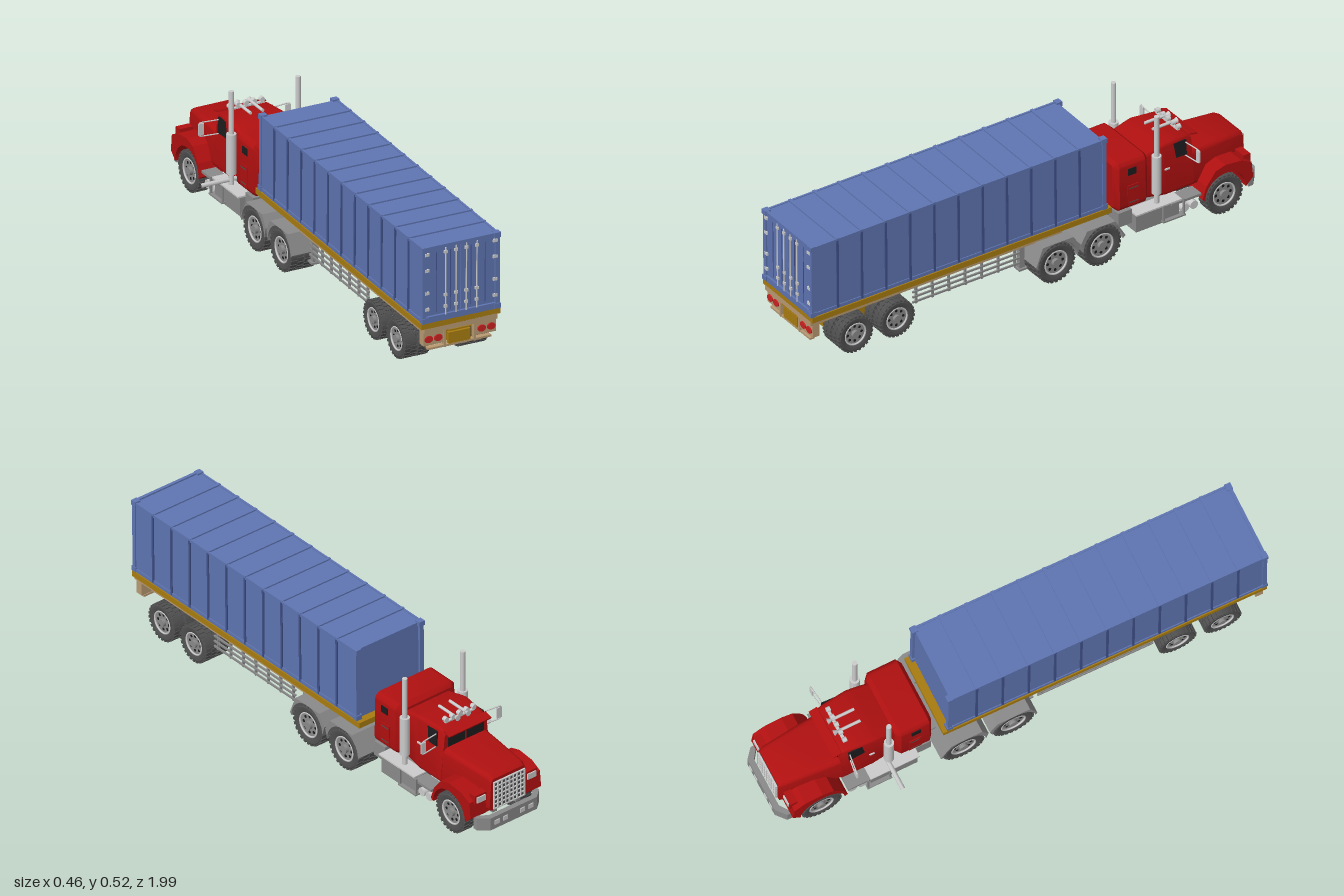
import * as THREE from 'three';
import { mergeGeometries, toCreasedNormals } from 'three/addons/utils/BufferGeometryUtils.js';

const RED = 0xb01010, BLUE = 0x5f75b2, DARKBLUE = 0x3f5088, OCHRE = 0xa87c10, BEIGE = 0xb99a72,
  GREY = 0x8a8a8a, DARK = 0x505050, LIGHT = 0xcccccc, BLACK = 0x1c1c1e, LAMP = 0xcc2222;
const mats = {};
const mat = c => (mats[c] ??= new THREE.MeshStandardMaterial({ color: c }));

function add(parent, name, geo, color, x = 0, y = 0, z = 0) {
  const m = new THREE.Mesh(geo, mat(color));
  m.name = name;
  m.position.set(x, y, z);
  parent.add(m);
  return m;
}
const box = (p, name, c, w, h, d, x, y, z) => add(p, name, new THREE.BoxGeometry(w, h, d), c, x, y, z);
// Cylinder along axis 'x', 'y' or 'z'
function cyl(p, name, c, r, len, axis, x, y, z, n = 16) {
  const g = new THREE.CylinderGeometry(r, r, len, n);
  if (axis === 'x') g.rotateZ(Math.PI / 2);
  if (axis === 'z') g.rotateX(Math.PI / 2);
  return add(p, name, g, c, x, y, z);
}
function tube(p, name, c, r, pts) {
  const curve = new THREE.CatmullRomCurve3(pts.map(q => new THREE.Vector3(...q)), false, 'catmullrom', 0.2);
  return add(p, name, new THREE.TubeGeometry(curve, 20, r, 8), c);
}
function group(parent, name) {
  const g = new THREE.Group();
  g.name = name;
  parent.add(g);
  return g;
}

// Body through rounded sections [z, half width below, half width above, bottom, top, corner], front-most last
function loft(sections) {
  const pos = [], idx = [], N = 20;
  for (const [z, wb, wt, y0, y1, r] of sections) {
    for (let k = 0; k < 4; k++) for (let i = 0; i < 5; i++) {
      const a = (k - 1 + i / 4) * Math.PI / 2, sx = k < 2 ? 1 : -1, top = k === 1 || k === 2;
      const y = (top ? y1 - r : y0 + r) + r * Math.sin(a);
      const w = wb + (wt - wb) * (y - y0) / (y1 - y0);
      pos.push(sx * (w - r) + r * Math.cos(a), y, z);
    }
  }
  const last = (sections.length - 1) * N;
  for (let s = 0; s < last; s += N) for (let j = 0; j < N; j++) {
    const a = s + j, b = s + (j + 1) % N;
    idx.push(a, a + N, b, b, a + N, b + N);
  }
  for (let j = 1; j < N - 1; j++) idx.push(0, j, j + 1, last, last + j + 1, last + j);
  const g = new THREE.BufferGeometry();
  g.setAttribute('position', new THREE.Float32BufferAttribute(pos, 3));
  g.setIndex(idx);
  return toCreasedNormals(g, 0.6);
}

// Wheel-arch block: outline in (z, y) from rear to front, cut by a half circle
function arch(parent, name, color, outline, zc, yc, r, inner, outer) {
  const s = new THREE.Shape();
  s.moveTo(zc + r, yc);
  outline.forEach(([z, y]) => s.lineTo(z, y));
  s.lineTo(zc - r, yc);
  s.absarc(zc, yc, r, Math.PI, 0, true);
  const g = new THREE.ExtrudeGeometry(s, { depth: outer - inner, bevelEnabled: false, curveSegments: 16 });
  g.rotateY(-Math.PI / 2);
  for (const side of [1, -1]) add(parent, name, g, color, side > 0 ? outer : -inner, 0, 0);
}

// Unit tyre (radius 1, width w) with staggered lugs
function tyreGeometry(w) {
  const h = w / 2, prof = [[0.58, -h * 0.8], [0.72, -h], [0.88, -h], [0.96, -h * 0.85], [0.96, h * 0.85], [0.88, h], [0.72, h], [0.58, h * 0.8]];
  const parts = [toCreasedNormals(new THREE.LatheGeometry(prof.map(p => new THREE.Vector2(...p)), 32), 0.5)];
  for (let i = 0; i < 52; i++) {
    const b = new THREE.BoxGeometry(0.09, h * 0.92, 0.13);
    b.translate(0.955, (i % 2 ? 1 : -1) * h * 0.5, 0);
    b.rotateY(i / 52 * Math.PI * 2);
    parts.push(b.toNonIndexed());
  }
  return mergeGeometries(parts).rotateZ(Math.PI / 2);
}
const tyreGeo = tyreGeometry(0.66);
function wheel(parent, r, x, y, z) {
  const g = group(parent, 'wheel');
  g.position.set(x, y, z);
  g.scale.setScalar(r);
  const out = Math.sign(x);
  add(g, 'tyre', tyreGeo, DARK);
  cyl(g, 'rimDisc', GREY, 0.6, 0.4, 'x', 0, 0, 0, 28);
  cyl(g, 'hub', GREY, 0.2, 0.66, 'x', out * 0.02, 0, 0, 14);
  for (const s of [1, -1]) {
    const ring = add(g, 'rimLip', new THREE.TorusGeometry(0.58, 0.05, 6, 28), LIGHT, s * 0.26, 0, 0);
    ring.rotation.y = Math.PI / 2;
  }
  for (let i = 0; i < 8; i++) {
    const a = i * Math.PI / 4;
    cyl(g, 'rimHole', BLACK, 0.075, 0.42, 'x', 0, 0.4 * Math.sin(a), 0.4 * Math.cos(a), 8);
  }
}
function axle(parent, r, y, z, tracks) {
  cyl(parent, 'axle', BLACK, 0.014, tracks[0] * 2, 'x', 0, y, z);
  for (const s of [1, -1]) for (const x of tracks) wheel(parent, r, s * x, y, z);
}

function buildTrailer(root) {
  const t = group(root, 'trailer');
  t.position.set(0.032, 0.008, 0);
  t.rotation.set(0.0085, -0.0165, 0);
  // Container with ribs and edge frame
  box(t, 'container', BLUE, 0.308, 0.298, 1.27, 0, 0.357, 0.335);
  for (let i = 1; i < 12; i++) {
    const z = 0.97 - i * 1.27 / 12;
    box(t, 'roofRib', BLUE, 0.318, 0.007, 0.012, 0, 0.508, z);
    for (const s of [1, -1]) box(t, 'sideRib', DARKBLUE, 0.005, 0.29, 0.009, s * 0.156, 0.357, z);
  }
  for (const s of [1, -1]) {
    box(t, 'topRail', BLUE, 0.008, 0.012, 1.28, s * 0.154, 0.503, 0.335);
    box(t, 'bottomRail', BLUE, 0.008, 0.014, 1.28, s * 0.154, 0.215, 0.335);
    for (const z of [0.972, -0.302]) {
      box(t, 'cornerPost', BLUE, 0.018, 0.3, 0.016, s * 0.15, 0.357, z);
      for (const y of [0.218, 0.503]) box(t, 'cornerCasting', BLUE, 0.026, 0.02, 0.024, s * 0.148, y, z);
    }
  }
  box(t, 'doorHeader', BLUE, 0.3, 0.014, 0.012, 0, 0.505, 0.975);
  box(t, 'doorSill', BLUE, 0.3, 0.024, 0.012, 0, 0.219, 0.975);
  // Doors with locking bars and hinges
  for (const s of [1, -1]) {
    box(t, 'door', BLUE, 0.138, 0.262, 0.006, s * 0.0705, 0.364, 0.972);
    for (const x of [0.021, 0.064]) {
      cyl(t, 'lockingBar', LIGHT, 0.0028, 0.27, 'y', s * x, 0.364, 0.981, 8);
      for (const y of [0.262, 0.308, 0.48]) box(t, 'barBracket', LIGHT, 0.013, 0.011, 0.007, s * x, y, 0.98);
    }
    for (const y of [0.262, 0.327, 0.418, 0.482]) box(t, 'hinge', LIGHT, 0.018, 0.012, 0.006, s * 0.14, y, 0.979);
    for (const x of [0.042, 0.1]) box(t, 'doorSeam', DARKBLUE, 0.002, 0.24, 0.002, s * x, 0.364, 0.976);
  }
  // Deck and frame
  box(t, 'deck', OCHRE, 0.324, 0.023, 1.31, 0, 0.196, 0.325);
  box(t, 'underFrame', BEIGE, 0.298, 0.022, 1.1, 0, 0.176, 0.43);
  const tail = new THREE.Shape();
  [[-0.149, 0.185], [-0.149, 0.112], [-0.065, 0.112], [-0.065, 0.16], [0.065, 0.16], [0.065, 0.112], [0.149, 0.112], [0.149, 0.185]]
    .forEach(([x, y], i) => i ? tail.lineTo(x, y) : tail.moveTo(x, y));
  add(t, 'tailPanel', new THREE.ExtrudeGeometry(tail, { depth: 0.03, bevelEnabled: false }), BEIGE, 0, 0, 0.94);
  box(t, 'tailBar', BEIGE, 0.26, 0.008, 0.02, 0, 0.097, 0.96);
  box(t, 'tailPlate', OCHRE, 0.09, 0.045, 0.015, 0, 0.123, 0.962);
  box(t, 'tailStrip', OCHRE, 0.09, 0.006, 0.01, 0, 0.157, 0.97);
  for (const s of [1, -1]) {
    box(t, 'tailUpright', BEIGE, 0.008, 0.07, 0.02, s * 0.062, 0.128, 0.963);
    for (const x of [0.128, 0.089]) cyl(t, 'tailLamp', LAMP, 0.015, 0.006, 'z', s * x, 0.137, 0.972, 20).scale.set(1.12, 0.9, 1);
  }
  // Bogie
  box(t, 'suspensionBox', OCHRE, 0.126, 0.05, 0.3, 0, 0.08, 0.7);
  for (const s of [1, -1]) box(t, 'suspensionBeam', OCHRE, 0.016, 0.075, 0.34, s * 0.057, 0.132, 0.7);
  box(t, 'bogieSide', OCHRE, 0.12, 0.06, 0.08, 0, 0.14, 0.85);
  for (const z of [0.797, 0.615]) axle(t, 0.076, 0.076, z, [0.148, 0.092]);
  // Side guards and landing legs
  for (const s of [1, -1]) {
    for (const y of [0.1, 0.122, 0.144]) box(t, 'guardRail', GREY, 0.006, 0.007, 0.47, s * 0.142, y, 0.295);
    for (let i = 0; i < 7; i++) box(t, 'guardPost', GREY, 0.008, 0.08, 0.008, s * 0.138, 0.13, 0.08 + i * 0.072);
    box(t, 'landingLeg', GREY, 0.02, 0.12, 0.022, s * 0.11, 0.115, 0.035);
    box(t, 'landingFoot', GREY, 0.036, 0.008, 0.036, s * 0.11, 0.053, 0.035);
  }
  cyl(t, 'landingBrace', GREY, 0.006, 0.22, 'x', 0, 0.12, 0.035, 8);
}

function buildTractor(root) {
  const t = group(root, 'tractor');
  t.position.x = 0.03;
  // Chassis
  for (const s of [1, -1]) box(t, 'chassisRail', GREY, 0.02, 0.04, 0.99, s * 0.055, 0.125, -0.46);
  for (let i = 0; i < 6; i++) box(t, 'crossMember', GREY, 0.11, 0.025, 0.025, 0, 0.12, 0.02 - i * 0.17);
  box(t, 'engineBlock', DARK, 0.08, 0.08, 0.2, 0, 0.12, -0.8);
  cyl(t, 'fifthWheel', BLACK, 0.075, 0.03, 'y', 0, 0.16, -0.165, 24);
  box(t, 'couplingRamp', BLACK, 0.09, 0.02, 0.12, 0, 0.158, -0.1);
  box(t, 'rearDeck', GREY, 0.2, 0.008, 0.1, 0, 0.15, -0.33);
  for (const z of [-0.064, -0.267]) axle(t, 0.083, 0.086, z, [0.168, 0.112]);
  axle(t, 0.081, 0.083, -0.83, [0.135]);
  arch(t, 'driveFender', GREY, [[0.03, 0.1], [0.0, 0.176], [-0.135, 0.176], [-0.164, 0.13]], -0.066, 0.09, 0.087, 0.085, 0.2);
  arch(t, 'driveFender', GREY, [[-0.169, 0.13], [-0.195, 0.176], [-0.32, 0.176], [-0.365, 0.1]], -0.267, 0.09, 0.087, 0.085, 0.2);
  // Sleeper, cab, hood
  add(t, 'sleeper', loft([[-0.366, 0.126, 0.122, 0.17, 0.352, 0.02], [-0.38, 0.143, 0.139, 0.158, 0.367, 0.025],
    [-0.495, 0.143, 0.139, 0.158, 0.367, 0.025], [-0.512, 0.126, 0.122, 0.17, 0.352, 0.02]]), RED);
  add(t, 'cab', loft([[-0.505, 0.112, 0.108, 0.155, 0.34, 0.015], [-0.57, 0.118, 0.112, 0.145, 0.355, 0.015],
    [-0.6, 0.12, 0.112, 0.14, 0.362, 0.015], [-0.7, 0.12, 0.102, 0.14, 0.358, 0.015], [-0.725, 0.12, 0.098, 0.14, 0.345, 0.015]]), RED);
  add(t, 'hood', loft([[-0.715, 0.118, 0.106, 0.135, 0.283, 0.02], [-0.8, 0.108, 0.1, 0.135, 0.279, 0.02],
    [-0.945, 0.095, 0.086, 0.125, 0.272, 0.018], [-0.966, 0.09, 0.08, 0.125, 0.26, 0.015]]), RED);
  arch(t, 'frontFender', RED, [[-0.728, 0.1], [-0.745, 0.15], [-0.785, 0.202], [-0.83, 0.215], [-0.9, 0.208], [-0.945, 0.185], [-0.952, 0.12]],
    -0.83, 0.09, 0.09, 0.075, 0.168);
  // Glazing and trim
  for (const s of [1, -1]) {
    box(t, 'windshield', BLACK, 0.08, 0.056, 0.006, s * 0.045, 0.314, -0.725);
    box(t, 'sideWindow', BLACK, 0.006, 0.062, 0.1, s * 0.108, 0.314, -0.645).rotation.set(0, s * -0.05, s * 0.06);
    box(t, 'doorHandle', LIGHT, 0.005, 0.006, 0.02, s * 0.12, 0.255, -0.605);
    box(t, 'sleeperWindow', BLACK, 0.004, 0.028, 0.036, s * 0.141, 0.32, -0.435);
    box(t, 'sleeperHatch', RED, 0.005, 0.085, 0.05, s * 0.142, 0.22, -0.44);
    for (const y of [0.19, 0.25]) box(t, 'hatchTrim', DARK, 0.007, 0.004, 0.04, s * 0.142, y, -0.44);
    box(t, 'headlampHousing', RED, 0.055, 0.04, 0.03, s * 0.12, 0.19, -0.938);
    box(t, 'headlamp', LIGHT, 0.04, 0.024, 0.006, s * 0.12, 0.19, -0.955);
    // Exhaust stack
    cyl(t, 'muffler', LIGHT, 0.019, 0.16, 'y', s * 0.138, 0.265, -0.545);
    cyl(t, 'stackPipe', LIGHT, 0.01, 0.19, 'y', s * 0.138, 0.42, -0.545);
    cyl(t, 'lowerPipe', LIGHT, 0.01, 0.06, 'y', s * 0.138, 0.165, -0.545);
    // Mirror
    box(t, 'mirror', LIGHT, 0.022, 0.045, 0.006, s * 0.18, 0.308, -0.7);
    tube(t, 'mirrorBracket', LIGHT, 0.0025, [[s * 0.1, 0.335, -0.69], [s * 0.182, 0.335, -0.7], [s * 0.19, 0.325, -0.7],
      [s * 0.19, 0.29, -0.7], [s * 0.182, 0.28, -0.7], [s * 0.11, 0.28, -0.69]]);
    // Tanks and steps
    box(t, 'fuelTank', GREY, 0.075, 0.075, 0.19, s * 0.122, 0.098, -0.535);
    box(t, 'stepPlate', LIGHT, 0.06, 0.006, 0.2, s * 0.14, 0.139, -0.535);
    box(t, 'lowerStep', GREY, 0.03, 0.006, 0.1, s * 0.16, 0.07, -0.6);
    for (const z of [-0.555, -0.645]) box(t, 'stepHanger', GREY, 0.008, 0.07, 0.006, s * 0.168, 0.103, z);
    for (const z of [-0.66, -0.7]) cyl(t, 'airTank', LIGHT, 0.017, 0.09, 'x', s * 0.11, 0.083, z);
    box(t, 'sideStep', GREY, 0.06, 0.01, 0.13, s * 0.135, 0.125, -0.66);
    box(t, 'battery', GREY, 0.06, 0.06, 0.06, s * 0.11, 0.125, -0.405);
    // Roof horn
    cyl(t, 'horn', LIGHT, 0.006, 0.09, 'z', s * 0.025, 0.377, -0.65, 10);
    const bell = add(t, 'hornBell', new THREE.ConeGeometry(0.012, 0.025, 12), LIGHT, s * 0.025, 0.377, -0.7);
    bell.rotation.x = Math.PI / 2;
  }
  tube(t, 'sideOutlet', LIGHT, 0.009, [[-0.09, 0.16, -0.55], [-0.16, 0.16, -0.55], [-0.263, 0.16, -0.55]]);
  box(t, 'sunVisor', RED, 0.2, 0.006, 0.035, 0, 0.35, -0.735).rotation.x = -0.3;
  box(t, 'lightBar', LIGHT, 0.14, 0.006, 0.012, 0, 0.368, -0.69);
  for (let i = -2; i <= 2; i++) cyl(t, 'roofLamp', LIGHT, 0.01, 0.016, 'z', i * 0.033, 0.38, -0.69, 12);
  // Grille
  box(t, 'grilleBack', DARK, 0.145, 0.115, 0.006, 0, 0.19, -0.967);
  for (let i = 0; i < 9; i++) box(t, 'grilleBar', LIGHT, 0.004, 0.115, 0.008, -0.072 + i * 0.018, 0.19, -0.971);
  for (let i = 0; i < 7; i++) box(t, 'grilleSlat', LIGHT, 0.15, 0.004, 0.007, 0, 0.134 + i * 0.0187, -0.971);
  // Bumper with swept ends
  const b = new THREE.Shape();
  [[-0.148, 0.945], [-0.142, 0.945], [-0.1, 0.975], [0.1, 0.975], [0.142, 0.945], [0.148, 0.945], [0.148, 0.965], [0.11, 0.997], [-0.11, 0.997], [-0.148, 0.965]]
    .forEach(([x, y], i) => i ? b.lineTo(x, y) : b.moveTo(x, y));
  const bg = new THREE.ExtrudeGeometry(b, { depth: 0.052, bevelEnabled: false });
  bg.rotateX(-Math.PI / 2);
  add(t, 'bumper', bg, GREY, 0, 0.068, 0);
  for (const x of [-0.08, -0.04, 0.04, 0.08]) box(t, 'bumperLamp', LIGHT, 0.022, 0.018, 0.006, x, 0.095, -0.997);
}

export function createModel() {
  const root = new THREE.Group();
  root.name = 'truckWithContainer';
  buildTrailer(root);
  buildTractor(root);
  return root;
}
